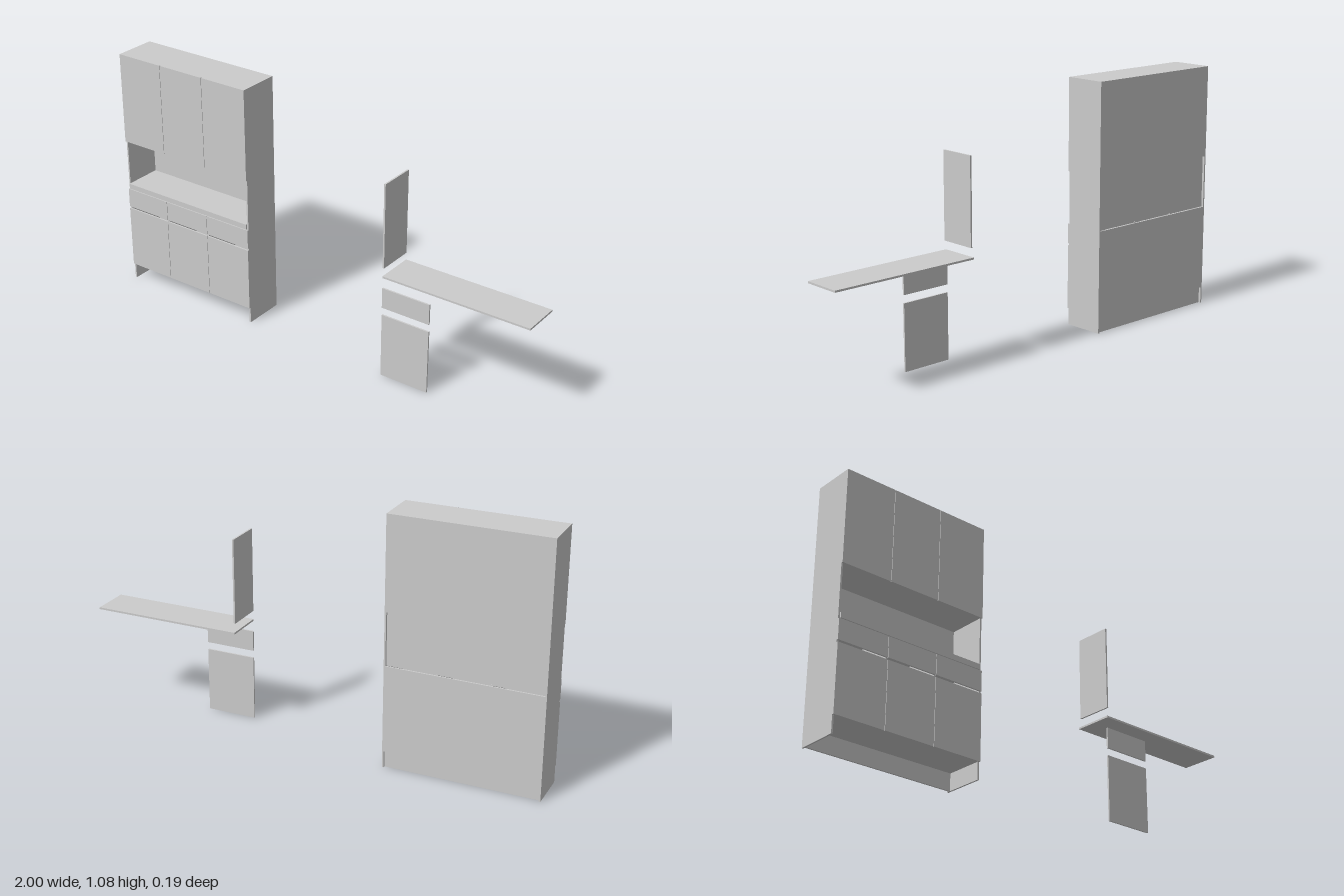
import * as THREE from 'three';

export function createModel() {
  const group = new THREE.Group();
  const material = new THREE.MeshStandardMaterial({ color: 0xcccccc });

  // Board given by its limits on each axis
  function board(name, [x0, x1], [y0, y1], [z0, z1]) {
    const mesh = new THREE.Mesh(new THREE.BoxGeometry(x1 - x0, y1 - y0, z1 - z0), material);
    mesh.name = name;
    mesh.position.set((x0 + x1) / 2, (y0 + y1) / 2, (z0 + z1) / 2);
    group.add(mesh);
  }

  const left = -1, right = -0.334, height = 1.075;
  const back = -0.093, front = 0.093, carcassFront = 0.086;
  const t = 0.007;
  const inner = [left + t, right - t];
  const depth = [back + t, carcassFront];
  const frontZ = [carcassFront, front];

  // Carcass sides, reaching the floor as feet
  board('rightSide', [left, left + t], [0, height], [back, carcassFront]);
  board('leftSide', [right - t, right], [0, height], [back, carcassFront]);

  // Horizontal boards
  board('topPanel', inner, [height - t, height], depth);
  board('nicheCeiling', inner, [0.675, 0.675 + t], depth);
  board('bottomPanel', inner, [0.072, 0.072 + t], depth);
  board('counter', inner, [0.45, 0.473], [back + 0.017, front]);

  // Back boards, with the niche back and plinth set in
  board('upperBack', inner, [0.675, height], [back, back + t]);
  board('lowerBack', inner, [0.072, 0.446], [back, back + t]);
  board('nicheBack', inner, [0.446, 0.675], [back + 0.01, back + 0.017]);
  board('plinth', inner, [0, 0.072], [back + 0.01, back + 0.017]);

  // Three columns of fronts separated by narrow gaps
  const gap = 0.002;
  const pitch = (right - left + gap) / 3;
  for (let i = 0; i < 3; i++) {
    const x = left + i * pitch;
    const span = [x, x + pitch - gap];
    board('upperDoor', span, [0.675, height], frontZ);
    board('drawerFront', span, [0.361, 0.447], frontZ);
    board('lowerDoor', span, [0.072, 0.352], frontZ);

    // Partitions behind the gaps
    if (i > 0) {
      const wall = [x - gap / 2 - t / 2, x - gap / 2 + t / 2];
      board('upperPartition', wall, [0.682, height - t], depth);
      board('lowerPartition', wall, [0.079, 0.45], depth);
    }
  }

  // Loose boards beside the cabinet
  board('loosePartition', [0.342, 0.349], [0.495, 0.86], [-0.066, front]);
  board('looseShelf', [0.342, 1], [0.45, 0.458], [-0.075, front]);
  board('looseDrawerFront', [0.342, 0.562], [0.315, 0.404], frontZ);
  board('looseDoor', [0.342, 0.562], [0, 0.282], frontZ);

  return group;
}
